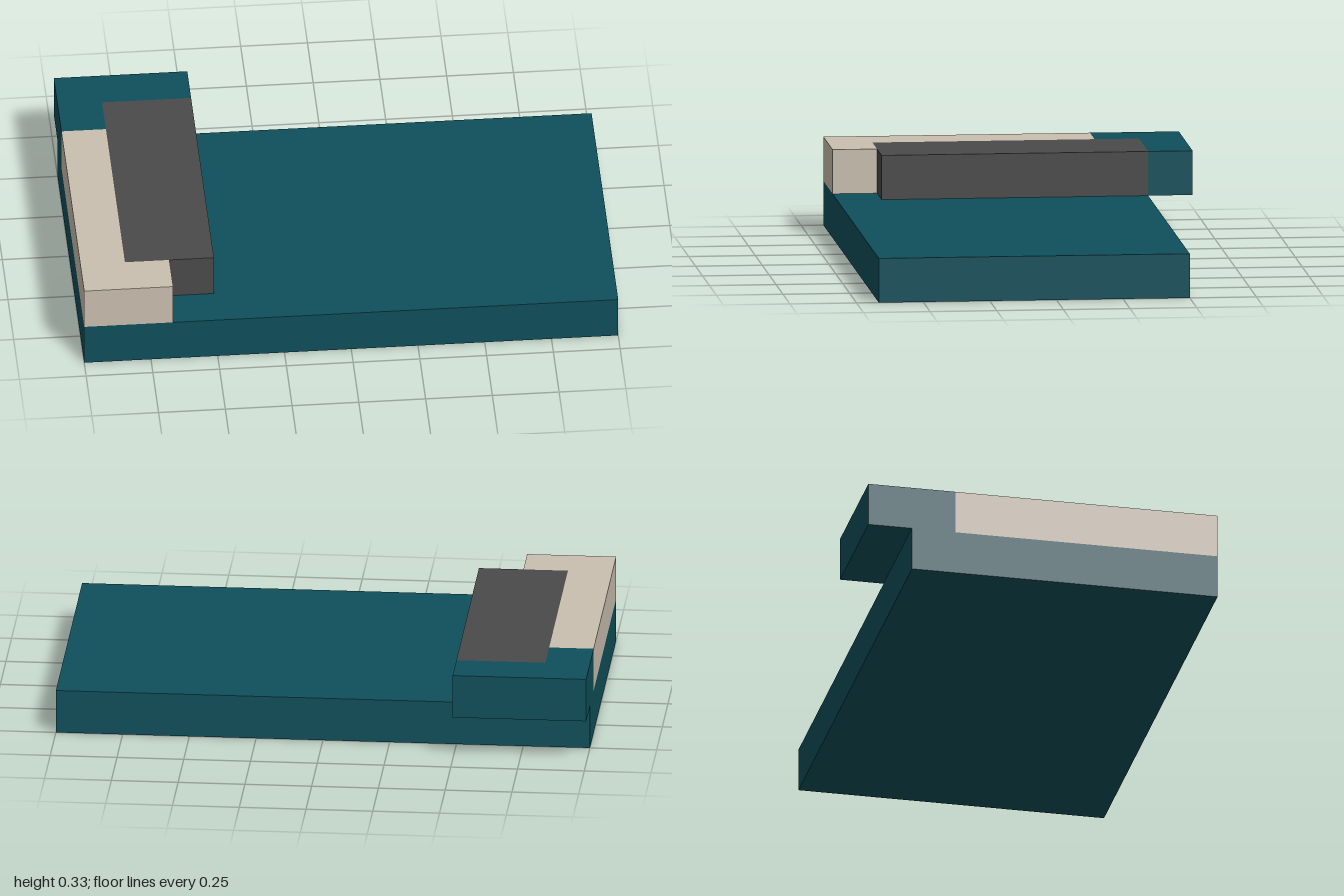
import * as THREE from 'three';

const U = 1 / 6; // module size: every edge lies on this grid

export function createModel() {
  const group = new THREE.Group();
  const mat = (name, color) => {
    const m = new THREE.MeshStandardMaterial({ color });
    m.name = name;
    return m;
  };
  const teal = mat('teal', 0x0f505b);
  const grey = mat('dark grey', 0x4a4a4a);
  const beige = mat('beige', 0xcabfb0);

  // Extrudes a footprint of [x, z] grid points upward by one module
  const slab = (name, material, level, points) => {
    const shape = new THREE.Shape(points.map(([x, z]) => new THREE.Vector2(x * U, -z * U)));
    const geometry = new THREE.ExtrudeGeometry(shape, { depth: U, bevelEnabled: false });
    geometry.rotateX(-Math.PI / 2);
    const mesh = new THREE.Mesh(geometry, material);
    mesh.name = name;
    mesh.position.y = level * U;
    group.add(mesh);
  };

  // Broad base
  slab('baseSlab', teal, 0, [[-6, -3], [6, -3], [6, 4], [-6, 4]]);
  // Bar lying along one end
  slab('darkBar', grey, 1, [[-5, -3], [-3, -3], [-3, 3], [-5, 3]]);
  // L-shaped pieces wrapping the bar; the rear one overhangs the base
  slab('frontCorner', beige, 1, [[-6, -2], [-5, -2], [-5, 3], [-4, 3], [-4, 4], [-6, 4]]);
  slab('rearCorner', teal, 1, [[-6, -4], [-3, -4], [-3, -3], [-5, -3], [-5, -2], [-6, -2]]);

  return group;
}
